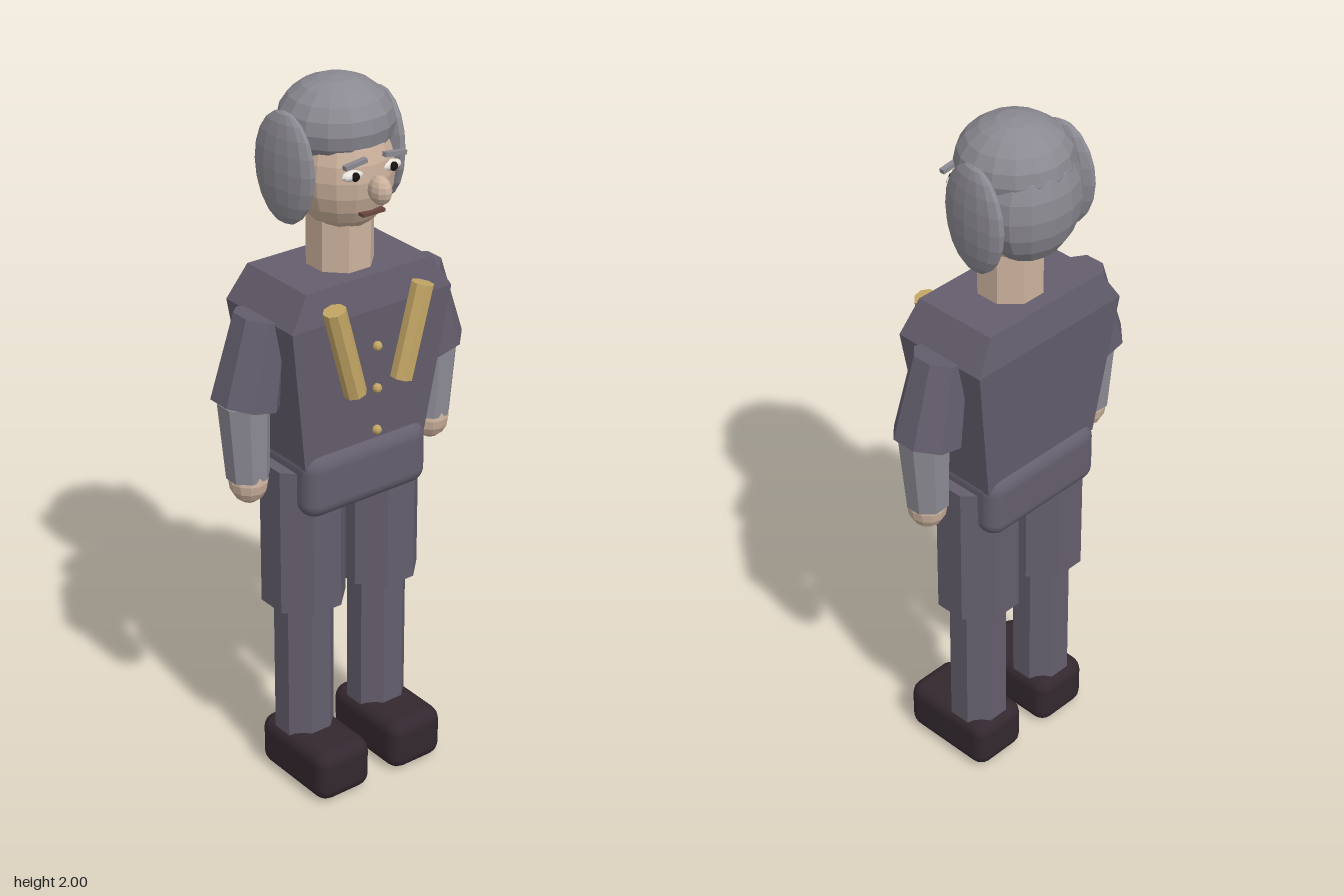
import * as THREE from 'three';
import { RoundedBoxGeometry } from 'three/addons/geometries/RoundedBoxGeometry.js';

const paint = (name, color) => {
  const m = new THREE.MeshStandardMaterial({ color });
  m.name = name;
  return m;
};

// Gives every face its own normal
const faceted = (geo) => {
  const g = geo.index ? geo.toNonIndexed() : geo;
  g.computeVertexNormals();
  return g;
};

export function createModel() {
  const model = new THREE.Group();
  model.name = 'figure';

  const cloth = paint('clothGrey', 0x645e6d);
  const sleeve = paint('sleeveGrey', 0x8d8b94);
  const hair = paint('hairGrey', 0x8b8991);
  const skin = paint('skin', 0xcbb19c);
  const gold = paint('gold', 0xc2a564);
  const leather = paint('shoeLeather', 0x33282f);
  const black = paint('pupilBlack', 0x17120f);
  const white = paint('eyeWhite', 0xe9e4de);
  const lip = paint('mouthBrown', 0x6a4640);

  const add = (name, geo, mat, x = 0, y = 0, z = 0) => {
    const mesh = new THREE.Mesh(geo, mat);
    mesh.name = name;
    mesh.position.set(x, y, z);
    model.add(mesh);
    return mesh;
  };

  // Faceted ellipsoid from centre and radii
  const ellipsoid = (name, mat, [x, y, z], [rx, ry, rz], w = 14, h = 10) =>
    add(name, faceted(new THREE.SphereGeometry(1, w, h).scale(rx, ry, rz)), mat, x, y, z);

  // Eight-sided limb between two points, flat side forward
  const limb = (name, mat, top, bottom, rTop, rBottom) => {
    const a = new THREE.Vector3(...top), b = new THREE.Vector3(...bottom);
    const axis = a.clone().sub(b);
    const geo = new THREE.CylinderGeometry(rTop, rBottom, axis.length(), 8).rotateY(Math.PI / 8);
    const mid = a.add(b).multiplyScalar(0.5);
    const mesh = add(name, faceted(geo), mat, mid.x, mid.y, mid.z);
    mesh.quaternion.setFromUnitVectors(new THREE.Vector3(0, 1, 0), axis.normalize());
    return mesh;
  };

  // Torso: box with waist, shoulder and collar levels
  const torso = new THREE.BoxGeometry(2, 2, 2, 1, 2, 1);
  const levels = [[1.0, 0.197, 0.112], [1.415, 0.256, 0.142], [1.505, 0.2, 0.125]];
  const p = torso.attributes.position;
  for (let i = 0; i < p.count; i++) {
    const [y, hx, hz] = levels[Math.round(p.getY(i)) + 1];
    p.setXYZ(i, p.getX(i) * hx, y, p.getZ(i) * hz);
  }
  add('torso', faceted(torso), cloth, 0, 0, -0.012);
  add('hips', new RoundedBoxGeometry(0.4, 0.185, 0.27, 3, 0.045), cloth, 0, 0.943, -0.01);

  // Neck and head
  limb('neck', skin, [0, 1.66, -0.01], [0, 1.49, -0.01], 0.09, 0.09);
  ellipsoid('head', skin, [0, 1.765, 0], [0.132, 0.165, 0.137], 16, 12);
  ellipsoid('nose', skin, [0, 1.748, 0.152], [0.027, 0.038, 0.038], 10, 8);
  add('mouth', new THREE.BoxGeometry(0.07, 0.009, 0.02), lip, 0, 1.68, 0.121);

  // Hair
  ellipsoid('hairCap', hair, [0, 1.885, -0.025], [0.151, 0.115, 0.15], 16, 10);
  ellipsoid('hairBack', hair, [0, 1.795, -0.085], [0.145, 0.165, 0.108], 14, 10);

  // Coat buttons
  for (const y of [1.32, 1.2, 1.08]) {
    ellipsoid('button', gold, [0, y, 0.147], [0.013, 0.013, 0.013], 8, 6);
  }

  // Mirrored parts
  for (const [side, s] of [['left', 1], ['right', -1]]) {
    const n = (part) => side + part;

    // Face
    ellipsoid(n('Eye'), white, [s * 0.06, 1.79, 0.118], [0.033, 0.014, 0.016], 10, 8);
    ellipsoid(n('Pupil'), black, [s * 0.06, 1.79, 0.131], [0.012, 0.012, 0.009], 10, 8);
    const brow = add(n('Brow'), new THREE.BoxGeometry(0.067, 0.012, 0.015), hair, s * 0.062, 1.825, 0.132);
    brow.rotation.z = s * -0.12;

    // Side hair
    const puff = ellipsoid(n('SideHair'), hair, [s * 0.152, 1.785, -0.037], [0.034, 0.15, 0.106], 14, 10);
    puff.rotation.y = s * -0.1;

    // Gold braid on the chest
    limb(n('Braid'), gold, [s * 0.142, 1.46, 0.152], [s * 0.075, 1.21, 0.152], 0.031, 0.031);

    // Arm
    limb(n('UpperArm'), cloth, [s * 0.25, 1.42, -0.012], [s * 0.303, 1.19, -0.012], 0.073, 0.093);
    limb(n('Forearm'), sleeve, [s * 0.311, 1.2, -0.008], [s * 0.302, 0.98, -0.008], 0.07, 0.058);
    ellipsoid(n('Hand'), skin, [s * 0.303, 0.97, -0.005], [0.052, 0.065, 0.055], 12, 8);

    // Leg
    limb(n('Thigh'), cloth, [s * 0.124, 0.98, -0.01], [s * 0.124, 0.555, -0.01], 0.117, 0.117);
    limb(n('Shin'), cloth, [s * 0.125, 0.6, -0.009], [s * 0.125, 0.13, -0.009], 0.083, 0.083);
    add(n('Shoe'), new RoundedBoxGeometry(0.176, 0.155, 0.295, 2, 0.04), leather, s * 0.125, 0.0775, 0.042);
  }

  return model;
}
